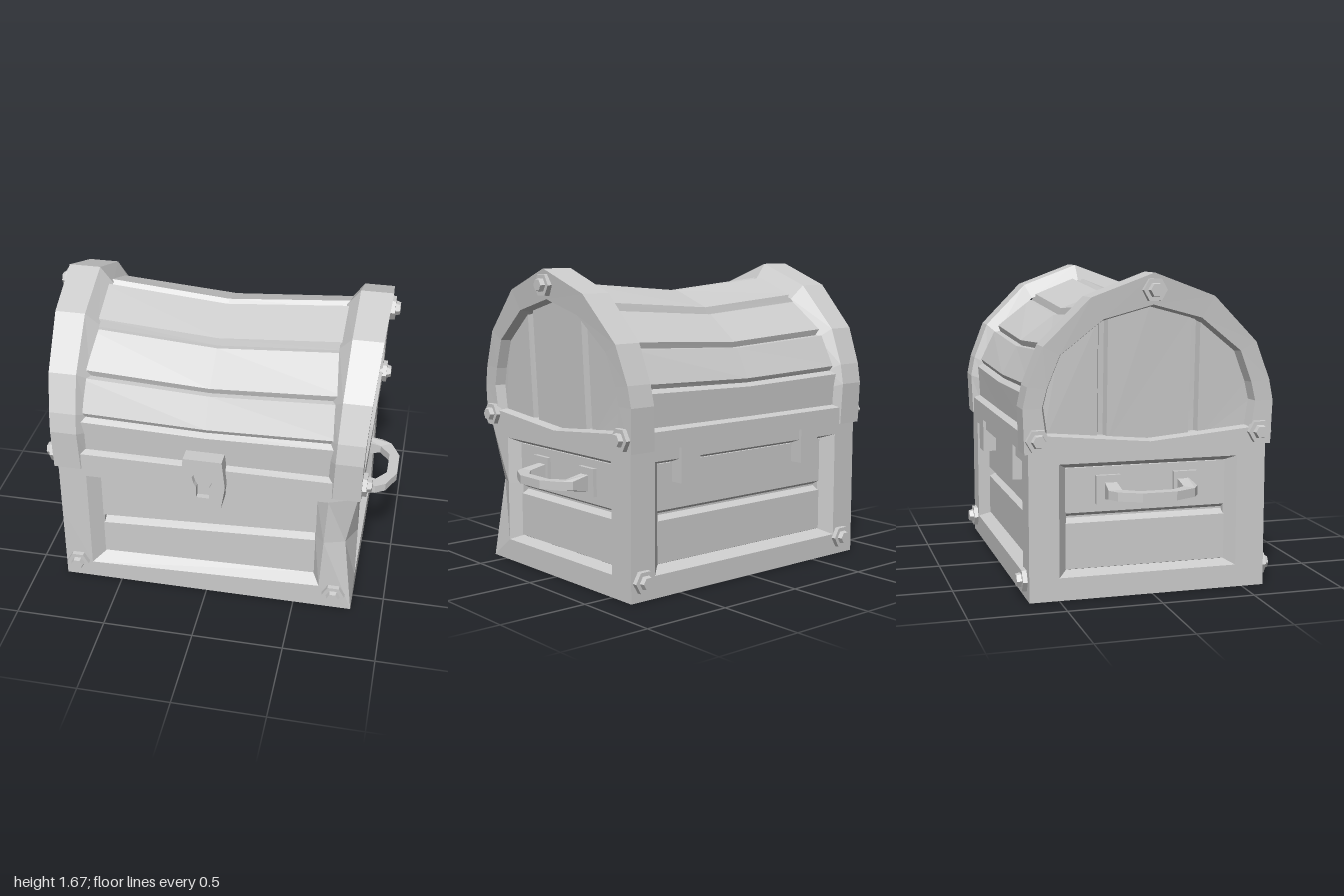
import * as THREE from 'three';

const mat = new THREE.MeshStandardMaterial({ color: 0xcccccc, flatShading: true });
const V = (x, y, z) => new THREE.Vector3(x, y, z);

function add(parent, name, geo, x = 0, y = 0, z = 0) {
  const m = new THREE.Mesh(geo, mat);
  m.name = name;
  m.position.set(x, y, z);
  parent.add(m);
  return m;
}

// Skin closed loops (counter-clockwise seen from the last loop), optionally capping the last one.
function loft(rings, cap = false) {
  const pos = [];
  const tri = (...p) => p.forEach(v => pos.push(v.x, v.y, v.z));
  for (let i = 0; i + 1 < rings.length; i++) {
    const a = rings[i], b = rings[i + 1], n = a.length;
    for (let j = 0; j < n; j++) {
      const k = (j + 1) % n;
      tri(a[j], a[k], b[k]);
      tri(a[j], b[k], b[j]);
    }
  }
  if (cap) {
    const r = rings[rings.length - 1];
    for (let j = 1; j + 1 < r.length; j++) tri(r[0], r[j], r[j + 1]);
  }
  const g = new THREE.BufferGeometry();
  g.setAttribute('position', new THREE.Float32BufferAttribute(pos, 3));
  g.computeVertexNormals();
  return g;
}

// Hexagonal washer with a bevelled nut, facing local +z
function bolt(parent, u, v, w) {
  const g = new THREE.Group();
  g.name = 'bolt';
  g.position.set(u, v, w);
  const hex = (name, top, bottom, h, z) =>
    add(g, name, new THREE.CylinderGeometry(top, bottom, h, 6).rotateY(Math.PI / 6).rotateX(Math.PI / 2), 0, 0, z);
  hex('washer', 0.063, 0.066, 0.04, 0.005);
  hex('nut', 0.033, 0.041, 0.03, 0.035);
  parent.add(g);
}

// One base wall: frame, sloped recess and two planks with a groove between
function wall(parent, { half, w, hole, inset, groove, pinch }) {
  const H = 0.77, mid = 0.45;
  const left = pinch === -1 ? V(-0.603, mid, 0.77) : V(-half, mid, w);
  const right = pinch === 1 ? V(0.77, mid, 0.603) : V(half, mid, w);
  const outer = [V(-half, 0, w), V(half, 0, w), right, V(half, H, w), V(-half, H, w), left];
  const loop = ([bl, br, tr, tl], z) => [
    V(...bl, z), V(...br, z), V((br[0] + tr[0]) / 2, mid, z),
    V(...tr, z), V(...tl, z), V((bl[0] + tl[0]) / 2, mid, z)];
  add(parent, 'wallFrame', loft([outer, loop(hole, w), loop(inset, w - 0.065), loop(inset, w - 0.1)], true));

  const [bl, br, tr, tl] = inset, e = 0.02, [gl, gr] = groove;
  const lower = [[bl[0] - e, bl[1] - e], [br[0] + e, br[1] - e], [br[0] + e, gr - 0.005], [bl[0] - e, gl - 0.005]];
  const upper = [[tl[0] - e, gl + 0.005], [tr[0] + e, gr + 0.005], [tr[0] + e, tr[1] + e], [tl[0] - e, tl[1] + e]];
  for (const q of [lower, upper]) {
    const top = q.map(([x, y], i) => V(x, y + (i < 2 ? 0.022 : -0.022), w - 0.06));
    add(parent, 'wallPlank', loft([q.map(([x, y]) => V(x, y, w - 0.1)), top], true));
  }
}

// Carry handle lying in the local xz plane
function handle(parent) {
  const half = [[0.225, 0.75], [0.238, 0.89], [0.205, 0.945], [0.09, 1]];
  const inner = [[0.09, 0.942], [0.165, 0.885], [0.165, 0.75]];
  const flip = a => a.map(([x, y]) => [-x, y]).reverse();
  const pts = [...half, ...flip(half), ...flip(inner), ...inner];
  const shape = new THREE.Shape(pts.map(p => new THREE.Vector2(...p)));
  const g = new THREE.ExtrudeGeometry(shape, { depth: 0.046, bevelEnabled: false })
    .translate(0, 0, -0.023).rotateX(Math.PI / 2);
  const p = g.attributes.position;
  for (let i = 0; i < p.count; i++) if (p.getZ(i) < 0.8) p.setY(i, p.getY(i) * 2.2);
  add(parent, 'handle', g, 0, 0.553, 0);
  for (const s of [-1, 1]) add(parent, 'handlePlate', new THREE.BoxGeometry(0.13, 0.15, 0.045), s * 0.21, 0.56, 0.765);
}

// Arch half-profiles [half width, height], from the bottom up
const ARCH = [[0.66, 0.77], [0.668, 1], [0.645, 1.11], [0.565, 1.31], [0.325, 1.55]];
const HOLE = [[0.55, 0.86], [0.57, 1], [0.545, 1.1], [0.48, 1.265], [0.26, 1.44]];
const mirrored = (half, top, bottom) =>
  [[0, bottom], ...half, [0, top], ...half.map(([u, y]) => [-u, y]).reverse()];
const rise = y => (y - 0.77) / 0.9;
const endW = y => 0.84 + 0.055 * rise(y) ** 2;

// Lid end: raised arched band, recessed panel and three upright planks
function lidEnd(parent) {
  const arch = mirrored(ARCH, 1.67, 0.77), hole = mirrored(HOLE, 1.51, 0.81);
  const shrink = (p, k, y0) => p.map(([u, y]) => [u * k, y0 + (y - y0) * k]);
  const ring = (p, w) => p.map(([u, y]) => V(u, y, w(y)));
  const floor = shrink(hole, 0.965, 1.1);
  add(parent, 'lidBand', loft([
    ring(shrink(arch, 0.9, 0.77), () => 0.65),
    ring(arch, y => 0.69 + 0.03 * rise(y)),
    ring(arch, endW),
    ring(hole, endW),
    ring(floor, y => endW(y) - 0.06),
    ring(floor, y => endW(y) - 0.09)], true));
  const planks = [
    [[-0.57, 1], [-0.545, 1.1], [-0.48, 1.265], [-0.26, 1.44]],
    [[-0.232, 1.448], [0, 1.51], [0.232, 1.448]],
    [[0.26, 1.44], [0.48, 1.265], [0.545, 1.1], [0.57, 1]]];
  for (const tops of planks) {
    const u0 = tops[0][0], u1 = tops[tops.length - 1][0], c = (u0 + u1) / 2, k = 1 - 0.024 / (u1 - u0);
    const poly = [[u0, 0.8], [u1, 0.8], ...tops.slice().reverse()];
    add(parent, 'lidEndPlank', loft([
      ring(poly, y => endW(y) - 0.09),
      poly.map(([u, y]) => V(c + (u - c) * k, y, endW(y) - 0.055))], true));
  }
  for (const s of [-1, 1]) bolt(parent, s * 0.593, 0.838, 0.84);
  bolt(parent, 0, 1.585, 0.885);
}

export function createModel() {
  const chest = new THREE.Group();
  chest.name = 'chest';
  const root = new THREE.Group();
  root.name = 'chestBody';
  root.position.z = -0.018;
  chest.add(root);
  const side = (name, angle) => {
    const g = new THREE.Group();
    g.name = name;
    g.rotation.y = angle;
    root.add(g);
    return g;
  };
  const rect = (x, y0, y1) => [[-x, y0], [x, y0], [x, y1], [-x, y1]];
  const X = 0.825, Z = 0.638;

  // Base walls
  const front = side('front', 0), back = side('back', Math.PI);
  wall(front, {
    half: X, w: Z, pinch: 1, groove: [0.38, 0.44],
    hole: [[-0.67, 0.1], [0.64, 0.14], [0.67, 0.725], [-0.67, 0.71]],
    inset: [[-0.6, 0.15], [0.6, 0.18], [0.6, 0.7], [-0.6, 0.68]] });
  wall(back, { half: X, w: Z, groove: [0.41, 0.41], hole: rect(0.67, 0.12, 0.71), inset: rect(0.6, 0.155, 0.685) });
  for (const g of [front, back]) {
    bolt(g, -0.75, 0.105, Z);
    bolt(g, 0.725, 0.1, Z);
  }

  // Left and right ends
  for (const s of [1, -1]) {
    const end = side(s > 0 ? 'leftEnd' : 'rightEnd', s * Math.PI / 2);
    wall(end, {
      half: Z, w: X, pinch: s > 0 ? -1 : 0, groove: [0.415, 0.415],
      hole: rect(0.48, 0.12, 0.71), inset: rect(0.43, 0.145, 0.68) });
    handle(end);
    lidEnd(end);
  }
  add(root, 'bottom', loft([[V(-X, 0, -Z), V(X, 0, -Z), V(X, 0, Z), V(-X, 0, Z)]], true));

  // Lid planks with grooves, sagging towards the middle
  const half = [
    [0.655, 0.77], [0.655, 0.865], [0.62, 0.88], [0.628, 1.055], [0.597, 1.075], [0.608, 1.1], [0.525, 1.27],
    [0.492, 1.272], [0.5, 1.305], [0.31, 1.455], [0.276, 1.452], [0.266, 1.495], [0.03, 1.587]];
  const outline = mirrored(half, 1.555, 0.77);
  const section = (x, sag) =>
    outline.map(([u, y]) => V(x, y - sag * Math.max(0, (y - 0.85) / 0.73), -u));
  add(root, 'lidPlanks', loft([section(-0.72, -0.005), section(0, 0.055), section(0.72, -0.005)]));

  // Lock plate with keyhole
  const plate = new THREE.Shape([[-0.1, 0.65], [0.1, 0.65], [0.122, 0.79], [0.105, 0.95], [-0.105, 0.95], [-0.122, 0.79]]
    .map(p => new THREE.Vector2(...p)));
  const key = [[-0.035, 0.71], [-0.035, 0.775]];
  for (let i = 0; i <= 6; i++) {
    const a = Math.PI * (1.2 - i * 1.4 / 6);
    key.push([0.058 * Math.cos(a), 0.83 + 0.055 * Math.sin(a)]);
  }
  key.push([0.035, 0.775], [0.035, 0.71]);
  plate.holes.push(new THREE.Path(key.map(p => new THREE.Vector2(...p))));
  add(root, 'lockPlate', new THREE.ExtrudeGeometry(plate, { depth: 0.11, bevelEnabled: false }), 0, 0, 0.597);
  add(root, 'keyholeBack', new THREE.BoxGeometry(0.16, 0.24, 0.06), 0, 0.8, 0.645);

  // Hinges hanging below the lid at the back
  for (const s of [-1, 1]) add(back, 'hinge', new THREE.BoxGeometry(0.13, 0.2, 0.1), s * 0.44, 0.68, 0.604);
  return chest;
}
